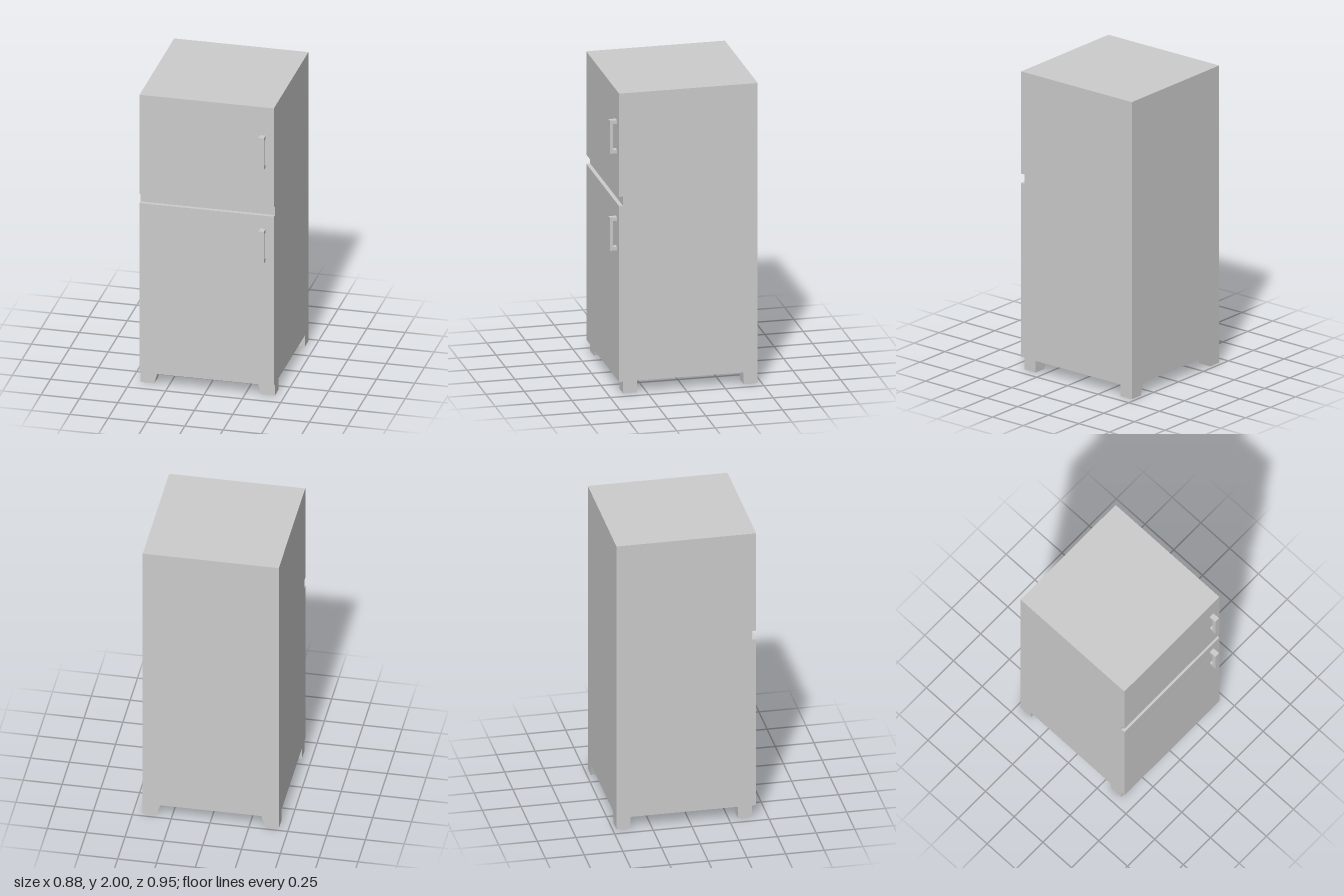
import * as THREE from 'three';

const material = new THREE.MeshStandardMaterial({ color: 0xcccccc, flatShading: true });

// Extrudes a side outline of [z, y] points across x, from x0 to x1.
function extrudeSide(points, x0, x1) {
  const shape = new THREE.Shape(points.map(([z, y]) => new THREE.Vector2(z, y)));
  const geometry = new THREE.ExtrudeGeometry(shape, { depth: x1 - x0, bevelEnabled: false });
  return geometry.rotateY(-Math.PI / 2).translate(x1, 0, 0);
}

function addMesh(parent, name, geometry) {
  const mesh = new THREE.Mesh(geometry, material);
  mesh.name = name;
  parent.add(mesh);
  return mesh;
}

export function createModel() {
  const model = new THREE.Group();
  model.name = 'refrigerator';

  const halfWidth = 0.438, base = 0.078, top = 2;
  const back = -0.475, cabinetFront = 0.402, doorFront = 0.428;
  const gapBottom = 1.25, gapTop = 1.312;

  // Cabinet with both doors, parted by a shallow recess
  addMesh(model, 'cabinetAndDoors', extrudeSide([
    [back, base], [doorFront, base],
    [doorFront, gapBottom], [cabinetFront, gapBottom],
    [cabinetFront, gapTop], [doorFront, gapTop],
    [doorFront, top], [back, top],
  ], -halfWidth, halfWidth));

  // C-shaped door handles
  const gripBack = 0.453, gripFront = 0.475, height = 0.221, bracket = 0.024;
  const handle = extrudeSide([
    [doorFront, 0], [gripFront, 0], [gripFront, height], [doorFront, height],
    [doorFront, height - bracket], [gripBack, height - bracket],
    [gripBack, bracket], [doorFront, bracket],
  ], 0.35, 0.384);
  addMesh(model, 'upperDoorHandle', handle).position.y = 1.585;
  addMesh(model, 'lowerDoorHandle', handle).position.y = 0.938;

  // Feet, each with a sloped inner side
  const depth = 0.092;
  for (const [side, sign] of [['left', 1], ['right', -1]]) {
    const outline = new THREE.Shape([
      [halfWidth, 0], [halfWidth, base], [0.326, base], [0.348, 0],
    ].map(([x, y]) => new THREE.Vector2(sign * x, y)));
    const foot = new THREE.ExtrudeGeometry(outline, { depth, bevelEnabled: false });
    addMesh(model, side + 'FrontFoot', foot).position.z = cabinetFront - depth;
    addMesh(model, side + 'BackFoot', foot).position.z = back;
  }

  return model;
}
